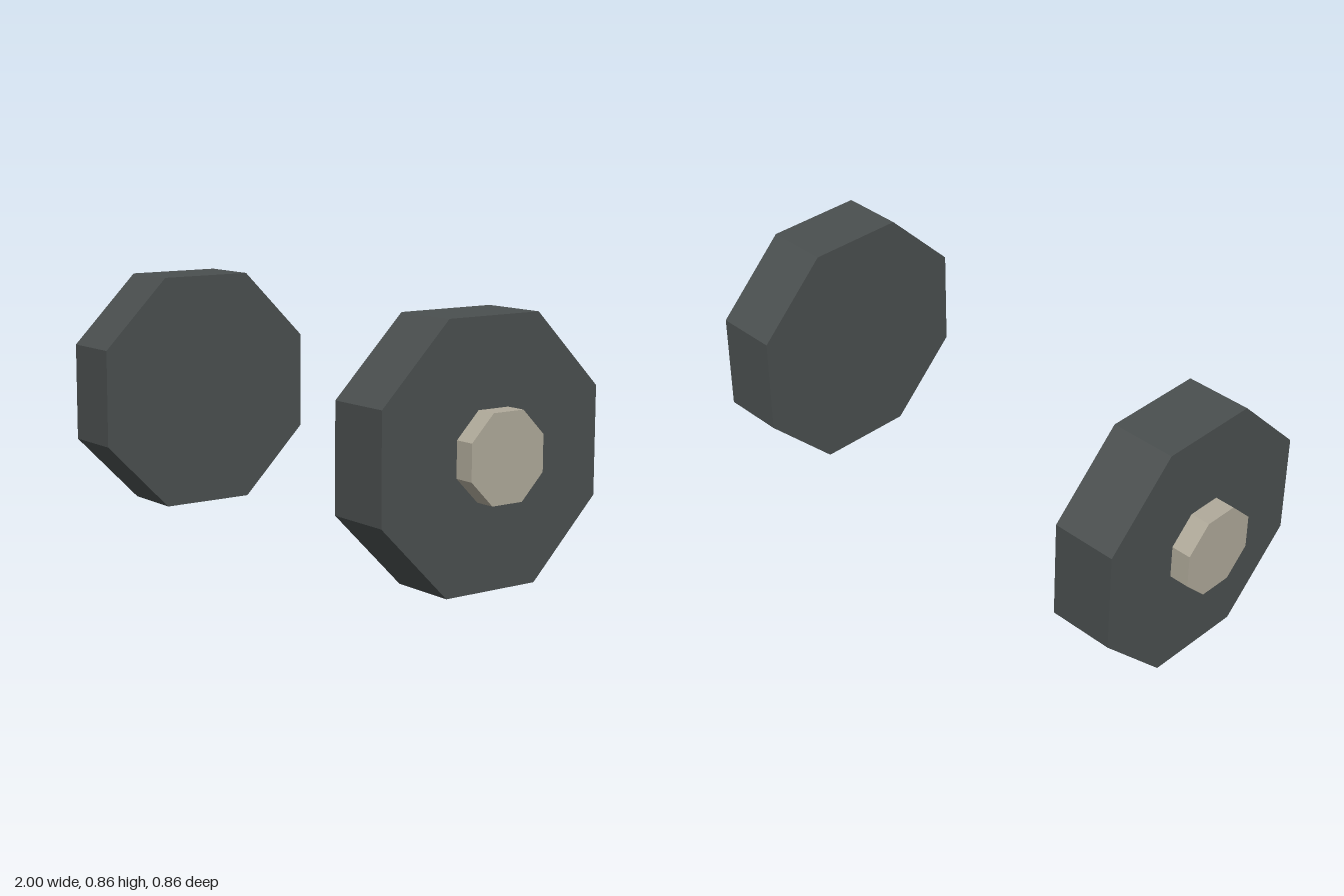
import * as THREE from 'three';

const APOTHEM = 0.4285; // centre height of the wheels above the ground

// Octagonal disc lying along x, with flats at top, bottom, front and back
function octagon(apothem, x0, x1) {
  const radius = apothem / Math.cos(Math.PI / 8);
  const geometry = new THREE.CylinderGeometry(radius, radius, x1 - x0, 8);
  geometry.rotateY(Math.PI / 8);
  geometry.rotateZ(Math.PI / 2);
  geometry.translate((x0 + x1) / 2, 0, 0);
  return geometry;
}

export function createModel() {
  const rubber = new THREE.MeshStandardMaterial({ color: 0x4a4f4f, flatShading: true });
  rubber.name = 'dark rubber';
  const metal = new THREE.MeshStandardMaterial({ color: 0xb0aa9a, flatShading: true });
  metal.name = 'pale metal';

  const tyreGeometry = octagon(APOTHEM, 0.7, 0.93);
  const hubGeometry = octagon(0.143, 0.92, 1);

  const model = new THREE.Group();
  model.name = 'wheelPair';

  // One wheel per side, hub facing outwards
  for (const side of ['left', 'right']) {
    const wheel = new THREE.Group();
    wheel.name = side + 'Wheel';
    const tyre = new THREE.Mesh(tyreGeometry, rubber);
    tyre.name = side + 'Tyre';
    const hub = new THREE.Mesh(hubGeometry, metal);
    hub.name = side + 'Hub';
    wheel.add(tyre, hub);
    wheel.position.y = APOTHEM;
    if (side === 'right') wheel.rotation.y = Math.PI;
    model.add(wheel);
  }
  return model;
}
